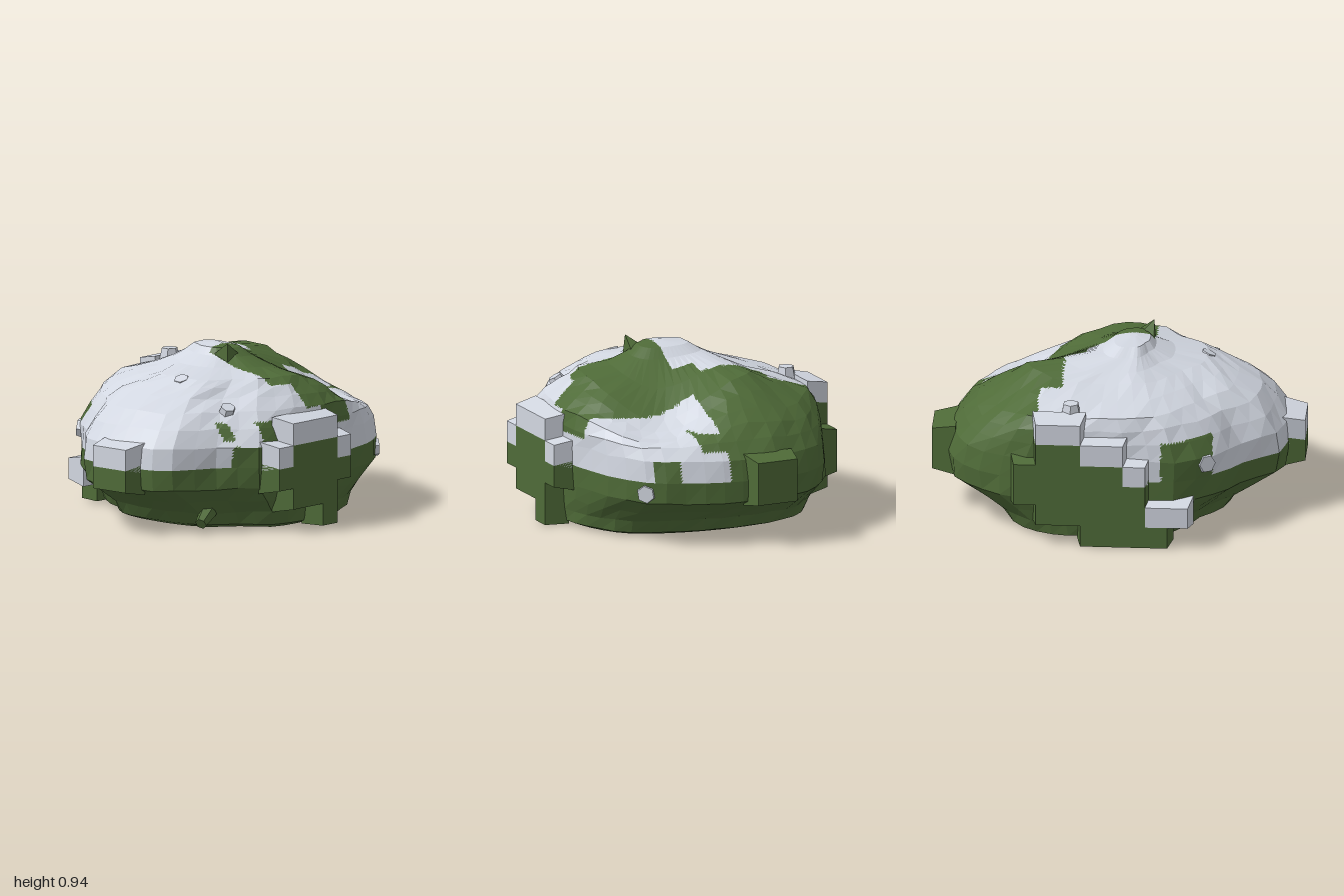
import * as THREE from 'three';

const mat = (name, color) => {
  const m = new THREE.MeshStandardMaterial({ color });
  m.name = name;
  return m;
};

// Cross-sections from bottom to top: y, left x, right x, back z, front z
const RINGS = [
  [0, -0.01, 0.01, -0.01, 0.01], [0, -0.3, 0.3, -0.3, 0.3], [0, -0.55, 0.55, -0.6, 0.6],
  [0.02, -0.6, 0.61, -0.65, 0.64], [0.09, -0.65, 0.65, -0.66, 0.65], [0.16, -0.76, 0.76, -0.67, 0.66],
  [0.24, -0.9, 0.9, -0.68, 0.67], [0.355, -0.91, 0.91, -0.68, 0.67], [0.47, -0.9, 0.88, -0.68, 0.67],
  [0.56, -0.83, 0.82, -0.68, 0.67], [0.64, -0.75, 0.75, -0.67, 0.65], [0.7, -0.63, 0.67, -0.64, 0.59],
  [0.745, -0.54, 0.58, -0.5, 0.54], [0.785, -0.46, 0.5, -0.36, 0.48], [0.82, -0.29, 0.3, -0.28, 0.31],
  [0.865, -0.19, 0.09, -0.19, 0.2], [0.905, -0.16, 0.03, -0.13, 0.14], [0.917, -0.09, -0.05, -0.01, 0.03],
];

// Plan outline (x, z) at the widest level
const OUTLINE = [
  [-0.91, 0.17], [-0.83, 0.36], [-0.6, 0.5], [-0.45, 0.65], [-0.3, 0.68], [0, 0.68], [0.2, 0.67],
  [0.48, 0.6], [0.7, 0.48], [0.84, 0.25], [0.91, 0], [0.91, -0.28], [0.84, -0.48], [0.7, -0.6],
  [0.52, -0.68], [0, -0.68], [-0.35, -0.68], [-0.6, -0.5], [-0.7, -0.36], [-0.86, -0.25], [-0.91, -0.07],
];

// Repeatable jitter in -1..1
const jitter = (i, j) => {
  const s = Math.sin(i * 127.1 + j * 311.7) * 43758.5453;
  return (s - Math.floor(s)) * 2 - 1;
};

const inside = (v, a, b) => v >= a && v < b;
const bump = (x, z, cx, cz, r) => Math.exp(-((x - cx) ** 2 + (z - cz) ** 2) / (r * r));

// Where snow lies: above the snow line, except on bare leaf patches
function isSnow({ x, y, z }) {
  if (y < 0.355) return false;
  if (x > 0.41 && z < 0.05) return false;
  if (x > 0.29 && inside(z, -0.41, 0.05)) return false;
  if (x > 0.18 && inside(z, -0.06, 0.05)) return false;
  if (z > 0.05 && y > 0.52) {
    const left = y > 0.75 ? -0.18 : y > 0.63 ? -0.06 : 0.05;
    const right = y > 0.63 ? 0.41 : 0.29;
    if (inside(x, left, right)) return false;
  }
  if (x > 0.6 && inside(z, 0.05, 0.18) && inside(y, 0.51, 0.59)) return false;
  if (x > 0.55 && inside(z, 0.3, 0.43) && y < 0.47) return false;
  if (z > 0.3 && inside(x, -0.55, -0.41) && y < 0.47) return false;
  if (z > 0.3 && inside(x, -0.41, -0.3) && inside(y, 0.47, 0.59)) return false;
  if (z > 0.3 && inside(x, -0.57, -0.52) && inside(y, 0.5, 0.59)) return false;
  if (z < -0.47 && inside(x, -0.53, -0.26) && y < 0.57) return false;
  return true;
}

// Lumpy faceted mound; each facet is split finely so the snow edge is crisp
function moundGeometry() {
  const count = 44, split = 7;
  const curve = new THREE.CatmullRomCurve3(
    OUTLINE.map(([x, z]) => new THREE.Vector3(x / 0.91, 0, z / 0.68)), true);
  const plan = curve.getSpacedPoints(count).slice(0, count);
  const rows = RINGS.map(([y, xl, xr, zb, zf], i) => plan.map((p, j) => {
    const lump = i > 2 && i < 14 ? jitter(i, j) : 0;
    const k = 1 + lump * 0.01;
    const x = (xl + xr) / 2 + p.x * k * (xr - xl) / 2;
    // The upper left side slopes in more than the right
    const lean = 1 - 0.15 * THREE.MathUtils.smoothstep(y, 0.45, 0.75) * THREE.MathUtils.smoothstep(-x, 0, 0.4);
    const z = (zb + zf) / 2 + p.z * k * lean * (zf - zb) / 2;
    const lift = i > 3 && i < 14 && y !== 0.355 ? jitter(j, i + 9) * 0.006 : 0;
    // A shoulder rises at the back right, between a wide hollow in front and a small one behind
    const high = THREE.MathUtils.smoothstep(y, 0.48, 0.74);
    const shape = high * (0.045 * bump(x, z, 0.43, -0.2, 0.2)
      - 0.18 * bump(x, z, 0.5, 0.3, 0.3) - 0.06 * bump(x, z, 0.7, -0.45, 0.18));
    return new THREE.Vector3(x, y + lift + shape, z);
  }));
  const buckets = [[], []];
  const addSplit = (a, b, c) => {
    const at = (u, v) => a.clone().addScaledVector(b.clone().sub(a), u / split)
      .addScaledVector(c.clone().sub(a), v / split);
    const put = (...t) => {
      const mid = new THREE.Vector3().add(t[0]).add(t[1]).add(t[2]).divideScalar(3);
      t.forEach(p => buckets[isSnow(mid) ? 1 : 0].push(p.x, p.y, p.z));
    };
    for (let u = 0; u < split; u++) {
      for (let v = 0; u + v < split; v++) {
        put(at(u, v), at(u + 1, v), at(u, v + 1));
        if (u + v < split - 1) put(at(u + 1, v), at(u + 1, v + 1), at(u, v + 1));
      }
    }
  };
  for (let i = 0; i < rows.length - 1; i++) {
    for (let j = 0; j < count; j++) {
      const n = (j + 1) % count;
      addSplit(rows[i][j], rows[i][n], rows[i + 1][n]);
      addSplit(rows[i][j], rows[i + 1][n], rows[i + 1][j]);
    }
  }
  // Close the very top
  const top = rows[rows.length - 1];
  for (let j = 1; j < count - 1; j++) addSplit(top[0], top[j], top[j + 1]);
  const g = new THREE.BufferGeometry();
  g.setAttribute('position', new THREE.Float32BufferAttribute(buckets.flat(), 3));
  g.addGroup(0, buckets[0].length / 3, 0);
  g.addGroup(buckets[0].length / 3, buckets[1].length / 3, 1);
  g.computeVertexNormals();
  return g;
}

// Block whose inner end flares slightly into the mound; out is its flat outer plane
function blockGeometry(axis, out, a0, a1, y0, y1) {
  const depth = 0.13, flare = 0.025, side = Math.sign(out);
  const other = axis === 'x' ? 'z' : 'x';
  const g = new THREE.BoxGeometry(1, 1, 1).toNonIndexed();
  const pos = g.attributes.position, p = new THREE.Vector3(), q = new THREE.Vector3();
  for (let i = 0; i < pos.count; i++) {
    p.fromBufferAttribute(pos, i);
    const outer = p[axis] * side > 0;
    const f = outer ? 0 : flare;
    q[axis] = outer ? out : out - side * depth;
    q[other] = p[other] > 0 ? a1 + f : a0 - f;
    q.y = Math.max(0, p.y > 0 ? y1 + f : y0 - f);
    pos.setXYZ(i, q.x, q.y, q.z);
  }
  g.computeVertexNormals();
  return g;
}

export function createModel() {
  const leaf = mat('leaf green', 0x4f6b38);
  const snow = mat('snow', 0xd2d7e1);
  const earth = mat('earth brown', 0x83706a);
  const model = new THREE.Group();
  model.name = 'snowyBush';
  const add = (name, geometry, material) => {
    const m = new THREE.Mesh(geometry, material);
    m.name = name;
    model.add(m);
    return m;
  };

  add('mound', moundGeometry(), [leaf, snow]);
  add('earthPatch', new THREE.BoxGeometry(0.28, 0.004, 0.25), earth).position.set(0.02, 0, 0.02);

  // Clipped blocks: name, axis, outer plane, across range, height range, material
  const blocks = [
    ['frontBlock', 'z', 0.76, -0.41, 0.17, 0.235, 0.355, leaf],
    ['frontBlock', 'z', 0.76, -0.3, 0.06, 0.355, 0.47, leaf],
    ['frontBlock', 'z', 0.76, -0.3, 0.06, 0.12, 0.235, leaf],
    ['frontBlock', 'z', 0.76, -0.06, 0.06, 0, 0.12, leaf],
    ['frontSnowBlock', 'z', 0.76, -0.41, -0.3, 0.355, 0.47, snow],
    ['frontSnowBlock', 'z', 0.76, 0.06, 0.17, 0.355, 0.47, snow],
    ['frontSnowBlock', 'z', 0.76, -0.3, 0.06, 0.47, 0.59, snow],
    ['backBlock', 'z', -0.76, 0.41, 0.53, 0.235, 0.47, leaf],
    ['backBlock', 'z', -0.76, 0.17, 0.41, 0.12, 0.59, leaf],
    ['backBlock', 'z', -0.76, -0.06, 0.17, 0, 0.47, leaf],
    ['backBlock', 'z', -0.76, -0.18, -0.06, 0, 0.355, leaf],
    ['backBlock', 'z', -0.76, -0.3, -0.18, 0, 0.12, leaf],
    ['backSnowBlock', 'z', -0.76, 0.17, 0.41, 0.59, 0.705, snow],
    ['backSnowBlock', 'z', -0.76, -0.06, 0.17, 0.47, 0.59, snow],
    ['backSnowBlock', 'z', -0.76, -0.18, -0.06, 0.355, 0.47, snow],
    ['backSnowBlock', 'z', -0.76, -0.41, -0.18, 0.12, 0.235, snow],
    ['leftBlock', 'x', 1, -0.295, -0.06, 0.235, 0.47, leaf],
    ['rightBlock', 'x', -1, -0.06, 0.175, 0.235, 0.355, leaf],
    ['rightSnowBlock', 'x', -1, -0.06, 0.175, 0.355, 0.47, snow],
  ];
  for (const [name, axis, out, a0, a1, y0, y1, material] of blocks) {
    add(name, blockGeometry(axis, out, a0, a1, y0, y1), material);
  }

  // Small tapered buds: base position, direction, size
  const buds = [
    ['snowBud', [0.23, 0.715, -0.6], [0, 1, 0], 0.055, snow],
    ['snowBud', [0.67, 0.29, 0.44], [0.6, 0, 0.5], 0.06, snow],
    ['snowBud', [-0.46, 0.62, 0.42], [-0.2, 0.8, 0.4], 0.05, snow],
    ['snowBud', [-0.45, 0.735, 0.1], [-0.4, 0.9, 0.1], 0.05, snow],
    ['snowBud', [-0.48, 0.43, -0.56], [-0.5, 0.1, -0.8], 0.06, snow],
    ['leafBud', [-0.59, 0.07, 0.38], [-0.7, -0.4, 0.2], 0.04, leaf],
  ];
  const up = new THREE.Vector3(0, 1, 0);
  for (const [name, at, dir, size, material] of buds) {
    const g = new THREE.CylinderGeometry(size * 0.8, size * 1.2, 0.11, 6).toNonIndexed();
    g.computeVertexNormals();
    const bud = add(name, g, material);
    bud.position.set(...at);
    bud.quaternion.setFromUnitVectors(up, new THREE.Vector3(...dir).normalize());
  }

  // Pointed tuft on the crown, leaning to the front right
  const tuft = new THREE.ConeGeometry(0.16, 0.16, 4).rotateY(Math.PI / 4).toNonIndexed();
  const pos = tuft.attributes.position;
  for (let i = 0; i < pos.count; i++) {
    if (pos.getY(i) > 0) pos.setXYZ(i, -0.1, 0.08, 0.1);
  }
  tuft.computeVertexNormals();
  add('crownTuft', tuft, leaf).position.set(-0.07, 0.86, 0.07);

  return model;
}
